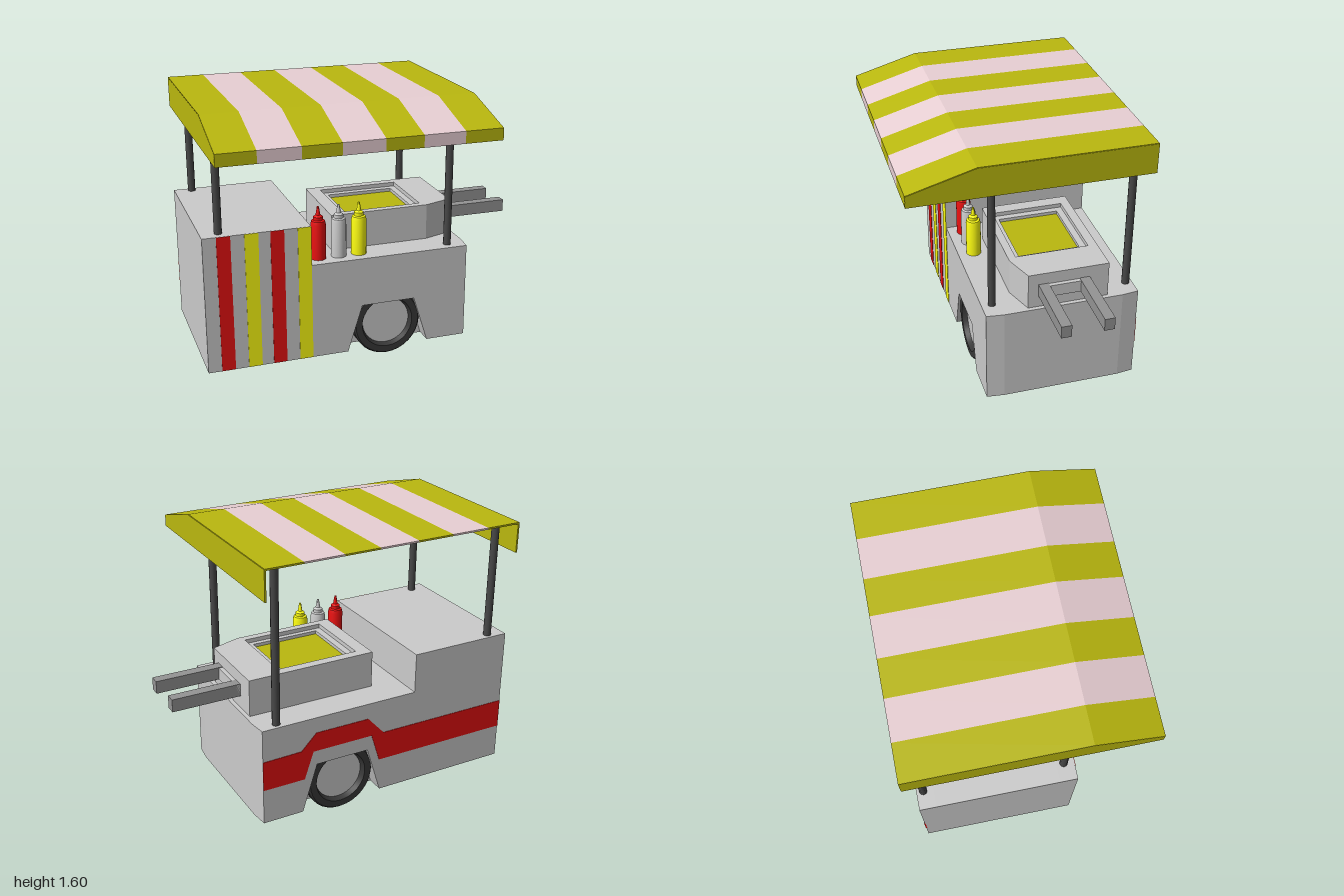
import * as THREE from 'three';
import { toCreasedNormals } from 'three/addons/utils/BufferGeometryUtils.js';

const mat = (color) => new THREE.MeshStandardMaterial({ color });
const grey = mat(0xcccccc), red = mat(0xe81010), yellow = mat(0xfcfc10), olive = mat(0xbab80f);
const pink = mat(0xe9d0d4), dark = mat(0x484848), rubber = mat(0x383838), darkGrey = mat(0x949494);

const poly = (pts) => new THREE.Shape(pts.map(([x, y]) => new THREE.Vector2(x, y)));
const extrude = (shape, depth) => new THREE.ExtrudeGeometry(shape, { depth, bevelEnabled: false });
const rect = (x0, x1, z0, z1) => [[x0, -z0], [x0, -z1], [x1, -z1], [x1, -z0]];

export function createModel() {
  const cart = new THREE.Group();
  cart.name = 'foodCart';

  const add = (name, geometry, material, x = 0, y = 0, z = 0, parent = cart) => {
    const mesh = new THREE.Mesh(geometry, material);
    mesh.name = name;
    mesh.position.set(x, y, z);
    parent.add(mesh);
    return mesh;
  };
  const box = (name, material, x0, x1, y0, y1, z0, z1) =>
    add(name, new THREE.BoxGeometry(x1 - x0, y1 - y0, z1 - z0), material,
      (x0 + x1) / 2, (y0 + y1) / 2, (z0 + z1) / 2);
  // plan outline extruded upwards; outline points are (x, -z)
  const slab = (name, material, outline, y0, y1, hole) => {
    const shape = poly(outline);
    if (hole) shape.holes.push(new THREE.Path(poly(hole).getPoints()));
    return add(name, extrude(shape, y1 - y0).rotateX(-Math.PI / 2), material, 0, y0, 0);
  };
  // side outline extruded along x; outline points are (z, y)
  const crossPrism = (name, material, outline, x0, x1) =>
    add(name, extrude(poly(outline.map(([z, y]) => [-z, y])), x1 - x0).rotateY(Math.PI / 2), material, x0);

  // body: solid core with a front and a back layer that hold the wheel arches
  const top = [[0.62, 0.65], [-0.37, 0.65], [-0.37, 0.89], [-1, 0.89], [-1, 0.06]];
  const arch = [[-0.15, 0.06], [-0.06, 0.35], [0.27, 0.35], [0.36, 0.06]];
  add('bodyCore', extrude(poly([...top, [0.62, 0.06]]), 0.71), grey, 0, 0, -0.54);
  for (const [name, z, outer] of [['bodyFront', 0.17, 1], ['bodyBack', -0.64, 0]]) {
    const g = extrude(poly([...top, ...arch, [0.62, 0.06]]), outer ? 0.105 : 0.1);
    const p = g.attributes.position;
    // the right end narrows slightly towards its outer corners
    for (let i = 0; i < p.count; i++) {
      if (p.getX(i) > 0.6 && (p.getZ(i) > 0.05) === !!outer) p.setX(i, 0.608);
    }
    g.computeVertexNormals();
    add(name, g, grey, 0, 0, z);
  }

  // painted stripes on the front of the tall cabinet
  [-0.92, -0.76, -0.61, -0.45].forEach((x, i) =>
    box('frontStripe', i % 2 ? yellow : red, x, x + 0.08, 0.061, 0.889, 0.27, 0.278));

  // red band on the back, rising over the wheel arch
  const band = poly([[-1, 0.44], [-0.165, 0.44], [-0.06, 0.555], [0.276, 0.555], [0.37, 0.46], [0.608, 0.455],
    [0.608, 0.275], [0.35, 0.275], [0.295, 0.44], [-0.085, 0.44], [-0.14, 0.265], [-1, 0.265]]);
  add('backBand', extrude(band, 0.008), red, 0, 0, -0.643);

  // full-width roller wheel with recessed hubs
  const wheel = new THREE.Group();
  wheel.name = 'wheel';
  wheel.position.set(0.105, 0.21, -0.1825);
  wheel.rotation.x = Math.PI / 2;
  cart.add(wheel);
  const tyre = [[0.145, -0.4], [0.16, -0.4425], [0.2, -0.4425], [0.21, -0.43],
    [0.21, 0.43], [0.2, 0.4425], [0.16, 0.4425], [0.145, 0.4]];
  add('tyre', toCreasedNormals(new THREE.LatheGeometry(tyre.map(([r, y]) => new THREE.Vector2(r, y)), 32), 0.5),
    rubber, 0, 0, 0, wheel);
  add('hub', new THREE.CylinderGeometry(0.148, 0.148, 0.82, 32), grey, 0, 0, 0, wheel);

  // grill box with a stepped opening and a coloured tray
  const grill = [[-0.19, -0.085], [0.42, -0.085], [0.595, -0.025], [0.595, 0.455], [-0.19, 0.455]];
  slab('grillBase', grey, grill, 0.65, 0.815);
  slab('grillStep', grey, grill, 0.815, 0.845, rect(-0.07, 0.35, -0.36, 0.01));
  slab('grillRim', grey, grill, 0.845, 0.87, rect(-0.11, 0.39, -0.4, 0.04));
  box('grillTray', olive, -0.07, 0.35, 0.81, 0.825, -0.36, 0.01);

  // push handle: mounting plate and two bars
  box('handlePlate', grey, 0.59, 0.62, 0.725, 0.797, -0.34, -0.035);
  for (const z of [-0.34, -0.095]) box('handleBar', darkGrey, 0.595, 1, 0.725, 0.8, z, z + 0.06);

  // canopy posts
  for (const x of [-0.895, 0.505]) {
    for (const z of [0.213, -0.6]) {
      const base = x < 0 ? 0.89 : 0.65;
      add('post', new THREE.CylinderGeometry(0.023, 0.023, 1.59 - base, 12), dark, x, (1.59 + base) / 2, z);
    }
  }

  // striped canopy: thin sheet folded down at the front, closed at both ends
  const t = 0.01;
  const sheet = [[-0.695, 1.6], [0.31, 1.6], [0.695, 1.49], [0.695, 1.42],
    [0.695 - t, 1.42], [0.695 - t, 1.49 - t], [0.31, 1.6 - t], [-0.695, 1.6 - t]];
  const edges = [-0.985, -0.77, -0.535, -0.315, -0.075, 0.14, 0.38, 0.602];
  for (let i = 0; i < 7; i++) {
    crossPrism('canopyStripe', i % 2 ? pink : olive, sheet, edges[i], edges[i + 1]);
  }
  const cheek = [[-0.695, 1.42], [-0.695, 1.597], [0.31, 1.597], [0.694, 1.488], [0.694, 1.42]];
  for (const x of [-0.986, 0.595]) crossPrism('canopyEnd', olive, cheek, x, x + t);

  // sauce bottles
  const profile = [[0, 0], [0.045, 0], [0.045, 0.215], [0.04, 0.235], [0.028, 0.24], [0.028, 0.26],
    [0.014, 0.27], [0.006, 0.32], [0, 0.32]].map(([r, y]) => new THREE.Vector2(r, y));
  const bottle = toCreasedNormals(new THREE.LatheGeometry(profile, 20), 0.6);
  [red, grey, yellow].forEach((m, i) => add('sauceBottle', bottle, m, -0.3 + i * 0.125, 0.65, 0.177));

  return cart;
}
